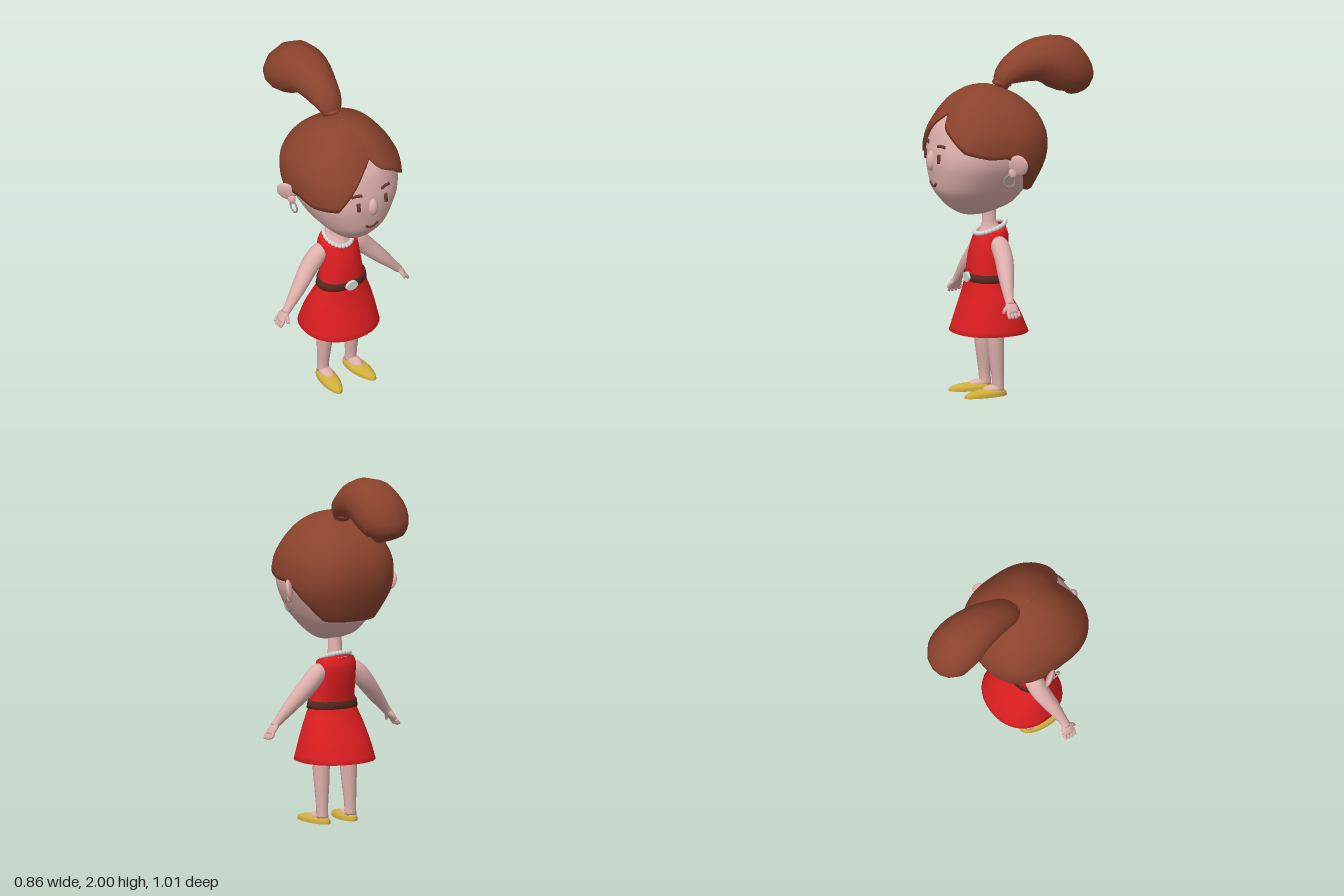
import * as THREE from 'three';

const mat = (name, color, side = THREE.FrontSide) => {
  const m = new THREE.MeshStandardMaterial({ color, side });
  m.name = name;
  return m;
};
const V = (x, y, z) => new THREE.Vector3(x, y, z);
const TAU = Math.PI * 2;
const spow = (v, p) => Math.sign(v) * Math.abs(v) ** p;

// Skin a list of closed rings (ordered along the axis, counterclockwise)
function loft(rings) {
  const n = rings[0].length, index = [];
  for (let i = 0; i < rings.length - 1; i++) {
    for (let j = 0; j < n; j++) {
      const a = i * n + j, b = i * n + (j + 1) % n;
      index.push(a, b, a + n, b, b + n, a + n);
    }
  }
  const g = new THREE.BufferGeometry().setFromPoints(rings.flat());
  g.setIndex(index);
  g.computeVertexNormals();
  return g;
}

const ring = (n, fn) => Array.from({ length: n }, (_, j) => fn((j / n) * TAU));

// Rounded limb through points [x, y, z, radius along ref, radius across]
function limb(pts, ref, sides = 14, steps = 20) {
  const path = new THREE.CatmullRomCurve3(pts.map(p => V(p[0], p[1], p[2])), false, 'catmullrom');
  const size = new THREE.CatmullRomCurve3(pts.map(p => V(p[3], p[4] ?? p[3], 0)), false, 'catmullrom');
  const rings = [];
  const add = (t, k) => {
    const p = path.getPoint(t), T = path.getTangent(t), s = size.getPoint(t);
    const U = ref.clone().addScaledVector(T, -T.dot(ref)).normalize();
    const W = U.clone().cross(T);
    rings.push(ring(sides, a => p.clone().addScaledVector(U, Math.sin(a) * s.x * k)
      .addScaledVector(W, Math.cos(a) * s.y * k)));
  };
  add(0, 0.001);
  for (let i = 0; i <= steps; i++) add(i / steps, 1);
  add(1, 0.001);
  return loft(rings);
}

// Profile rows [y, half width, front z, back z], smoothed and sampled by height
function profile(rows, e) {
  const c1 = new THREE.CatmullRomCurve3(rows.map(r => V(r[0], r[1], 0)), false, 'catmullrom', 0.4);
  const c2 = new THREE.CatmullRomCurve3(rows.map(r => V(r[2], r[3], 0)), false, 'catmullrom', 0.4);
  const table = Array.from({ length: 61 }, (_, i) => {
    const p = c1.getPoint(i / 60), q = c2.getPoint(i / 60);
    return [p.x, Math.max(p.y, 0.001), q.x, q.y];
  });
  const at = y => {
    let i = 0;
    while (i < 59 && table[i + 1][0] < y) i++;
    const a = table[i], b = table[i + 1];
    const t = THREE.MathUtils.clamp((y - a[0]) / (b[0] - a[0]), 0, 1);
    return a.map((v, k) => v + (b[k] - v) * t);
  };
  const point = (a, y, k = 1) => {
    const [, w, f, b] = at(y);
    return V(w * k * spow(Math.sin(a), 2 / e), y, (f + b) / 2 + (f - b) / 2 * k * spow(Math.cos(a), 2 / e));
  };
  const front = (x, y) => {
    const [, w, f, b] = at(y);
    return (f + b) / 2 + (f - b) / 2 * (1 - Math.abs(x / w) ** e) ** (1 / e);
  };
  return { table, point, front };
}

// Hairline as [angle from the front, height]
const HAIRLINE = [[-3.15, 1.17], [-2.3, 1.17], [-2.15, 1.21], [-1.79, 1.34], [-1.5, 1.37], [-1.2, 1.35], [-0.63, 1.36],
  [-0.38, 1.445], [-0.16, 1.525], [0.09, 1.615], [0.18, 1.55], [0.5, 1.5], [0.88, 1.42], [1.37, 1.385],
  [1.57, 1.385], [1.79, 1.34], [2.15, 1.21], [2.3, 1.17], [3.15, 1.17]];
function hairline(a) {
  const i = Math.max(1, HAIRLINE.findIndex(p => p[0] >= a));
  const [p, q] = [HAIRLINE[i - 1], HAIRLINE[i]];
  return p[1] + (q[1] - p[1]) * (a - p[0]) / (q[0] - p[0]);
}

export function createModel() {
  const skin = mat('skin', 0xdeb0ac), hairMat = mat('hair', 0x8b432d, THREE.DoubleSide);
  const red = mat('dressRed', 0xdc1e20, THREE.DoubleSide), brown = mat('beltBrown', 0x55291f);
  const pearl = mat('pearl', 0xd3dad9), silver = mat('silver', 0x9a938f);
  const dark = mat('featureBrown', 0x6a3a36), yellow = mat('shoeYellow', 0xd0ae3c);
  const model = new THREE.Group();
  const add = (name, geo, m, x = 0, y = 0, z = 0) => {
    const mesh = new THREE.Mesh(geo, m);
    mesh.name = name;
    mesh.position.set(x, y, z);
    model.add(mesh);
    return mesh;
  };
  const ball = (name, m, p, s) => {
    const mesh = add(name, new THREE.SphereGeometry(1, 20, 14), m, ...p);
    mesh.scale.set(...s);
    return mesh;
  };

  // Head
  const head = profile([[1.02, 0.005, 0.225, 0.215], [1.035, 0.06, 0.3, 0.13], [1.085, 0.125, 0.378, 0],
    [1.18, 0.205, 0.45, -0.08], [1.31, 0.275, 0.474, -0.13], [1.4, 0.292, 0.47, -0.15], [1.52, 0.275, 0.438, -0.14],
    [1.6, 0.235, 0.385, -0.1], [1.68, 0.15, 0.3, -0.02], [1.715, 0.01, 0.16, 0.15]], 2.3);
  add('head', loft(head.table.map(r => ring(40, a => head.point(a, r[0])))), skin);

  // Hair cap, trimmed to the hairline and dipped along the parting
  const cap = profile([[1.15, 0.195, 0.45, -0.09], [1.18, 0.22, 0.46, -0.115], [1.31, 0.298, 0.487, -0.17],
    [1.4, 0.312, 0.487, -0.19], [1.5, 0.305, 0.462, -0.18], [1.6, 0.258, 0.405, -0.13], [1.68, 0.188, 0.34, -0.045],
    [1.73, 0.11, 0.265, 0.05], [1.752, 0.045, 0.2, 0.12], [1.76, 0.001, 0.165, 0.16]], 2.5);
  const capRings = [];
  for (let i = -1; i <= 22; i++) {
    const s = Math.sin(Math.max(i, 0) / 22 * Math.PI / 2);
    capRings.push(ring(80, t => {
      const a = t > Math.PI ? t - TAU : t;
      const y0 = hairline(a);
      const part = 0.035 * Math.exp(-(((a - 0.1) / 0.16) ** 2));
      return cap.point(a, y0 + (1.76 - y0) * s, (i < 0 ? 0.92 : 1) - part);
    }));
  }
  add('hairCap', loft(capRings), hairMat);

  // Ponytail and its tie
  add('ponytail', limb([[0, 1.72, 0.05, 0.045, 0.03], [0, 1.785, 0.03, 0.078, 0.06], [0, 1.835, -0.05, 0.1, 0.095],
    [0, 1.868, -0.18, 0.132, 0.128], [-0.005, 1.84, -0.3, 0.152, 0.15], [-0.015, 1.76, -0.39, 0.14, 0.125],
    [-0.02, 1.69, -0.425, 0.085, 0.075]], V(1, 0, 0), 12, 18), hairMat);
  const tie = add('hairTie', new THREE.TorusGeometry(0.042, 0.014, 8, 20), hairMat, 0, 1.752, 0.045);
  tie.rotation.x = Math.PI / 2 - 0.2;

  // Face
  const onFace = (name, pts, r) => add(name, limb(pts.map(([x, y]) => [x, y, head.front(x, y) + 0.002, r]),
    V(0.3, 0.3, 1), 8, 10), dark);
  ball('nose', skin, [0, 1.345, 0.472], [0.029, 0.056, 0.03]);
  onFace('mouth', [[-0.038, 1.222], [-0.022, 1.206], [0, 1.2], [0.022, 1.206], [0.038, 1.222]], 0.007);
  for (const s of [1, -1]) {
    onFace('eye', [[s * 0.09, 1.345], [s * 0.09, 1.37], [s * 0.09, 1.395]], 0.011);
    onFace('eyebrow', [[s * 0.065, 1.438], [s * 0.095, 1.442], [s * 0.125, 1.438]], 0.009);

    // Ear and hoop earring
    const ear = ball('ear', skin, [s * 0.322, 1.345, 0.085], [0.018, 0.062, 0.056]);
    ear.rotation.set(0, -s * 0.65, -s * 0.2, 'YXZ');
    const lobe = ball('earLobe', skin, [s * 0.303, 1.3, 0.11], [0.018, 0.03, 0.025]);
    lobe.rotation.y = -s * 0.4;
    const hoop = add('earring', new THREE.TorusGeometry(0.033, 0.005, 8, 24), silver, s * 0.302, 1.256, 0.13);
    hoop.rotation.y = Math.PI / 2;
  }

  // Neck and upper chest
  const neckY = a => 0.925 - 0.03 * Math.cos(a);
  const neckRing = (rx, rz, z, fy) => ring(36, a => V(rx * Math.sin(a), fy(a), z + rz * Math.cos(a)));
  add('neck', loft([neckRing(0.085, 0.09, 0.115, a => neckY(a) - 0.01), neckRing(0.05, 0.055, 0.12, a => 0.94 - 0.01 * Math.cos(a)),
    neckRing(0.039, 0.039, 0.122, () => 0.975), neckRing(0.038, 0.038, 0.125, () => 1.09)]), skin);

  // Dress with open hem
  const dress = profile([[0.355, 0.225, 0.34, -0.09], [0.46, 0.203, 0.305, -0.045], [0.55, 0.178, 0.275, 0.005],
    [0.63, 0.148, 0.255, 0.045], [0.67, 0.136, 0.248, 0.055], [0.73, 0.126, 0.245, 0.045], [0.8, 0.12, 0.235, 0.03],
    [0.86, 0.117, 0.218, 0.02], [0.9, 0.115, 0.203, 0.02], [0.935, 0.105, 0.195, 0.03]], 2.2);
  const dressRings = dress.table.filter((r, i) => i % 2 === 0).map(r => ring(36, a => {
    const p = dress.point(a, r[0]);
    p.y = Math.min(p.y, neckY(a) + 0.008);
    return p;
  }));
  dressRings.push(neckRing(0.074, 0.082, 0.115, a => neckY(a) + 0.01));
  dressRings.unshift(ring(36, a => dress.point(a, 0.36, 0.95)));
  add('dress', loft(dressRings), red);

  // Belt and buckle
  add('belt', loft([[0.646, 0.95], [0.647, 1.06], [0.668, 1.08], [0.689, 1.08], [0.69, 0.95]]
    .map(([y, k]) => ring(36, a => dress.point(a, y, k)))), brown);
  const buckle = add('buckle', new THREE.CylinderGeometry(0.038, 0.04, 0.016, 16), pearl, 0, 0.667, 0.258);
  buckle.rotation.x = Math.PI / 2;
  buckle.scale.z = 0.72;

  // Pearl necklace
  for (let i = 0; i < 26; i++) {
    const a = (i / 26) * TAU;
    add('necklacePearl', new THREE.SphereGeometry(0.0135, 10, 8), pearl,
      0.077 * Math.sin(a), neckY(a) + 0.016, 0.117 + 0.086 * Math.cos(a));
  }

  for (const s of [1, -1]) {
    // Arm and hand
    const z = V(0, 0, 1);
    add('arm', limb([[s * 0.08, 0.87, 0.11, 0.04], [s * 0.125, 0.85, 0.11, 0.052], [s * 0.185, 0.785, 0.112, 0.052],
      [s * 0.27, 0.69, 0.135, 0.042], [s * 0.345, 0.605, 0.153, 0.027], [s * 0.378, 0.568, 0.158, 0.023]], z), skin);
    add('palm', limb([[s * 0.365, 0.582, 0.157, 0.023, 0.02], [s * 0.388, 0.556, 0.155, 0.037, 0.018],
      [s * 0.408, 0.527, 0.152, 0.034, 0.013]], z, 12, 8), skin);
    for (let i = 0; i < 4; i++) {
      const fz = 0.122 + i * 0.02, tip = i === 0 ? 0.511 : 0.501;
      add('finger', limb([[s * 0.402, 0.535, fz, 0.01], [s * 0.415, 0.518, fz, 0.01],
        [s * 0.426, tip, fz, 0.007]], z, 8, 6), skin);
    }
    add('thumb', limb([[s * 0.378, 0.562, 0.175, 0.012], [s * 0.385, 0.545, 0.195, 0.011],
      [s * 0.388, 0.525, 0.204, 0.007]], V(1, 0, 0), 8, 6), skin);

    // Leg and instep
    add('leg', limb([[s * 0.092, 0.03, 0.108, 0.034], [s * 0.092, 0.1, 0.11, 0.034], [s * 0.09, 0.22, 0.118, 0.043],
      [s * 0.088, 0.36, 0.127, 0.05], [s * 0.08, 0.6, 0.14, 0.055]], V(1, 0, 0)), skin);
    ball('instep', skin, [s * 0.095, 0.035, 0.145], [0.036, 0.026, 0.06]);

    // Flat shoe: a sphere with a flattened sole and a tapered toe
    const shoe = new THREE.SphereGeometry(1, 28, 18);
    const p = shoe.attributes.position;
    for (let i = 0; i < p.count; i++) {
      const q = p.getZ(i), y = Math.max(p.getY(i), 0);
      p.setXYZ(i, p.getX(i) * (0.052 - 0.006 * q), y ** 0.6 * (0.043 - 0.006 * q), q * 0.133);
    }
    shoe.computeVertexNormals();
    add('shoe', shoe, yellow, s * 0.1, 0, 0.187).rotation.y = s * 0.12;
  }
  return model;
}
